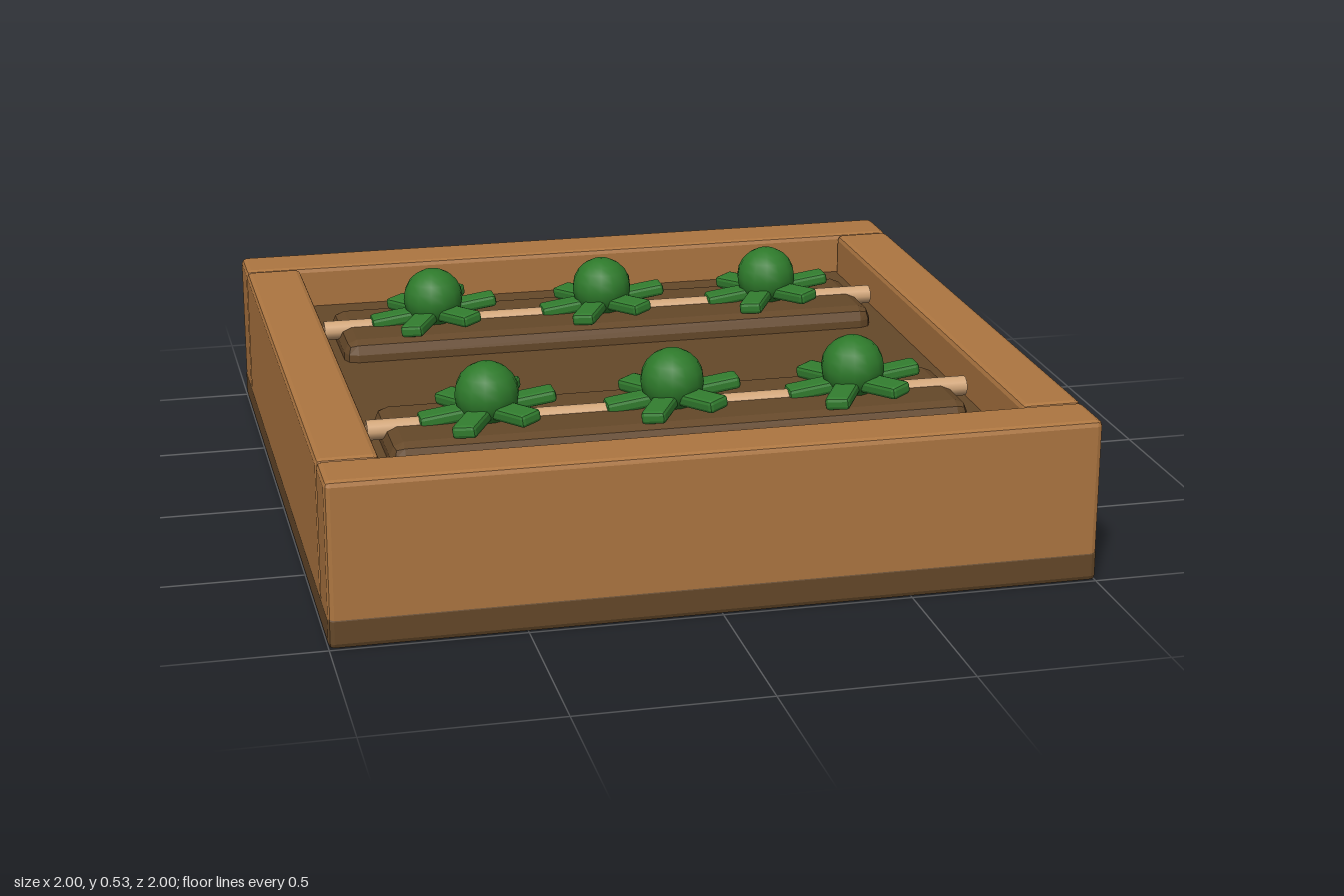
import * as THREE from 'three';
import { RoundedBoxGeometry } from 'three/addons/geometries/RoundedBoxGeometry.js';

function material(name, color) {
  const m = new THREE.MeshStandardMaterial({ color });
  m.name = name;
  return m;
}

// Box with flat chamfered edges
function chamferBox(w, h, d, bevel) {
  const g = new RoundedBoxGeometry(w, h, d, 1, bevel);
  g.computeVertexNormals();
  return g;
}

export function createModel() {
  const wood = material('wood', 0xad7641);
  const soil = material('soil', 0x654829);
  const twig = material('twig', 0xd2a679);
  const green = material('green', 0x2e7a2b);
  const leafGreen = material('leafGreen', 0x327d2f);

  const model = new THREE.Group();
  model.name = 'planterBed';

  function add(parent, name, geometry, mat, x, y, z) {
    const mesh = new THREE.Mesh(geometry, mat);
    mesh.name = name;
    mesh.position.set(x, y, z);
    parent.add(mesh);
    return mesh;
  }

  // Dark base slab and the soil filling the frame
  add(model, 'base', chamferBox(2.002, 0.09, 2.002, 0.015), soil, 0, 0.045, 0);
  add(model, 'soilFill', new THREE.BoxGeometry(1.69, 0.27, 1.69), soil, 0, 0.185, 0);

  // Four chamfered wooden walls
  for (const s of [-1, 1]) {
    add(model, s > 0 ? 'frontWall' : 'backWall',
      chamferBox(2, 0.41, 0.16, 0.015), wood, 0, 0.235, s * 0.92);
    add(model, s > 0 ? 'leftWall' : 'rightWall',
      chamferBox(0.16, 0.41, 1.68, 0.015), wood, s * 0.92, 0.235, 0);
  }

  // Shared plant geometry
  const headGeo = new THREE.SphereGeometry(0.086, 14, 10);
  const leafGeo = chamferBox(0.14, 0.035, 0.066, 0.01);
  leafGeo.translate(0.113, 0, 0);

  function plant(x, z) {
    const group = new THREE.Group();
    group.name = 'plant';
    group.position.set(x, 0, z);
    add(group, 'head', headGeo, green, 0, 0.445, 0);
    // Six leaves in a slightly tilted rosette
    const rosette = new THREE.Group();
    rosette.name = 'leaves';
    rosette.position.y = 0.407;
    rosette.rotation.z = 0.14;
    for (let i = 0; i < 6; i++) {
      add(rosette, 'leaf', leafGeo, leafGreen, 0, 0, 0).rotation.y = (i * Math.PI) / 3;
    }
    group.add(rosette);
    return group;
  }

  // Two planted rows: soil mound, half-buried twig, three plants
  const moundGeo = chamferBox(1.56, 0.15, 0.355, 0.037);
  const twigGeo = new THREE.CylinderGeometry(0.027, 0.027, 1.64, 10);
  twigGeo.rotateZ(Math.PI / 2);
  for (const z of [-0.44, 0.44]) {
    add(model, 'mound', moundGeo, soil, 0, 0.303, z);
    add(model, 'twig', twigGeo, twig, 0, 0.366, z);
    for (const x of [-0.5, 0, 0.5]) model.add(plant(x, z));
  }

  return model;
}
